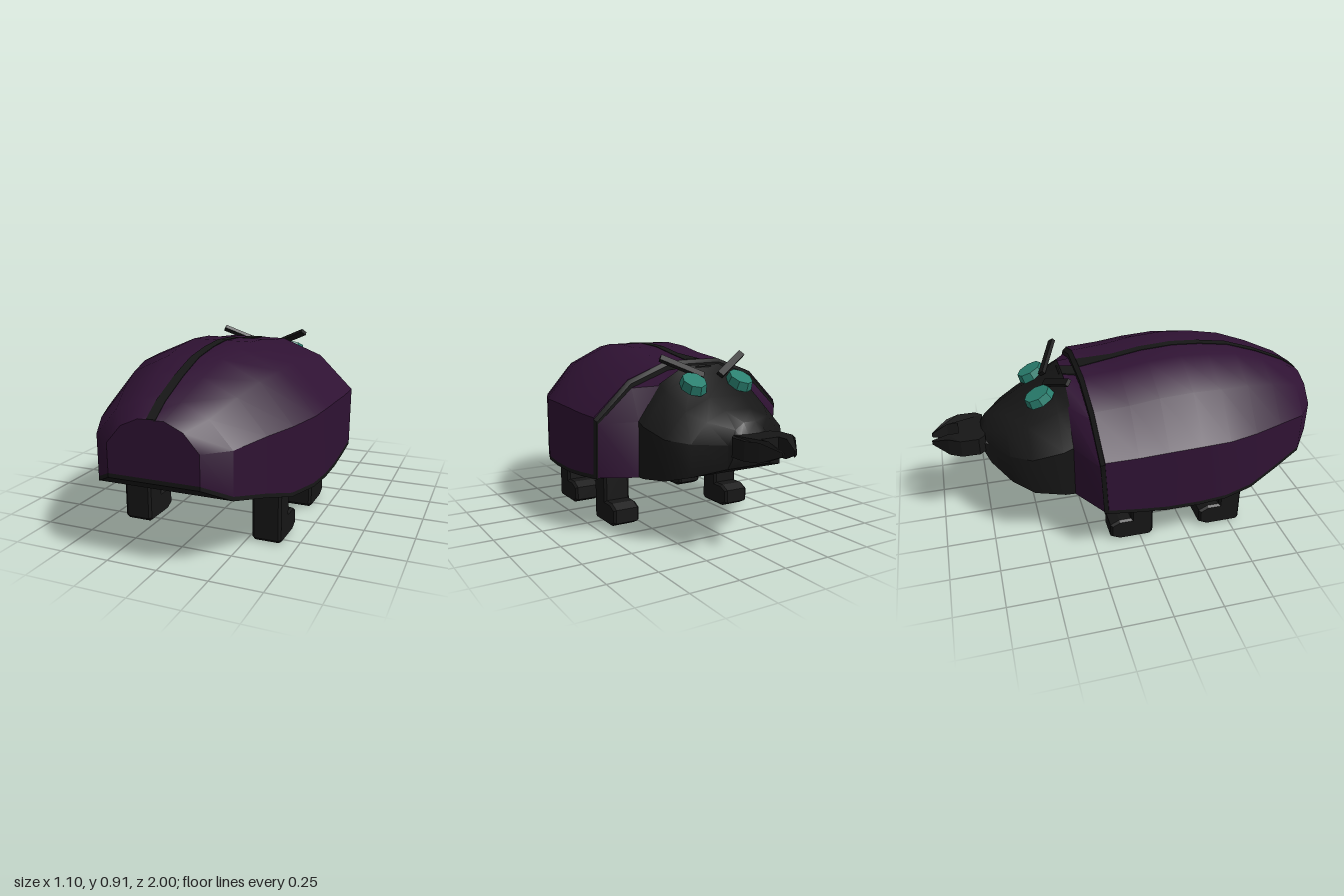
import * as THREE from 'three';
import { toCreasedNormals } from 'three/addons/utils/BufferGeometryUtils.js';

const purple = new THREE.MeshStandardMaterial({ color: 0x2f1233 });
const black = new THREE.MeshStandardMaterial({ color: 0x161616 });
const teal = new THREE.MeshStandardMaterial({ color: 0x2a8070 });

// Closed cross-sections, ordered from +z to -z, joined and capped.
function loft(rings, crease = 0.6) {
  const n = rings[0].length, index = [];
  for (let r = 0; r < rings.length - 1; r++) {
    for (let i = 0; i < n; i++) {
      const a = r * n + i, b = r * n + (i + 1) % n;
      index.push(a, a + n, b, b, a + n, b + n);
    }
  }
  const last = (rings.length - 1) * n;
  for (let i = 1; i < n - 1; i++) {
    index.push(0, i, i + 1, last, last + i + 1, last + i);
  }
  const g = new THREE.BufferGeometry();
  g.setAttribute('position', new THREE.Float32BufferAttribute(rings.flat(2), 3));
  g.setIndex(index);
  return toCreasedNormals(g, crease);
}

// Faceted arch with upright sides; lean pushes its crown forward.
function arch([z, w, y0, y1], lean = 0) {
  const half = [[1, 0], [1, 0.53], [0.67, 0.85], [0.28, 1]];
  const mirrored = half.map(([x, t]) => [-x, t]).reverse();
  return [...half, ...mirrored].map(([x, t]) => [x * w, y0 + t * (y1 - y0), z - lean * t]);
}

const slab = (z, w, y0, y1) => [[w, y0, z], [w, y1, z], [-w, y1, z], [-w, y0, z]];

export function createModel() {
  const model = new THREE.Group();
  const add = (name, geometry, material) => {
    const mesh = new THREE.Mesh(geometry, material);
    mesh.name = name;
    model.add(mesh);
    return mesh;
  };

  // Wing case: z, half width, bottom, top
  const body = [
    [1, 0.22, 0.4, 0.68], [0.91, 0.33, 0.34, 0.74], [0.74, 0.415, 0.305, 0.815],
    [0.58, 0.48, 0.26, 0.87], [0.42, 0.535, 0.26, 0.895], [0.27, 0.55, 0.26, 0.905],
    [0.1, 0.55, 0.26, 0.895], [-0.05, 0.55, 0.275, 0.87], [-0.2, 0.55, 0.295, 0.853],
  ];
  const lean = (i) => (i === body.length - 1 ? 0.03 : 0);
  add('wingCase', loft(body.map(([z, w, a, b], i) => arch([z, w, a + 0.02, b], lean(i)))), purple);
  add('belly', loft(body.map(([z, w, a]) => slab(z, w, a, a + 0.02))), black);

  // Seam between the wings, widening at the front
  const seam = body.map(([z, , , top], i) =>
    slab(z - lean(i), i === body.length - 1 ? 0.045 : 0.022, top - 0.03, top + 0.003));
  add('wingSeam', loft(seam), black);

  // Black band in front of the wings, then the collar
  add('wingBand', loft([
    arch([-0.2, 0.55, 0.295, 0.853], 0.03), arch([-0.22, 0.54, 0.295, 0.835], 0.03),
  ]), black);
  add('collar', loft([
    arch([-0.22, 0.535, 0.3, 0.81], 0.03), arch([-0.33, 0.365, 0.305, 0.825]),
  ]), purple);
  add('collarSeam', loft([
    slab(-0.24, 0.05, 0.78, 0.815), slab(-0.335, 0.045, 0.79, 0.83),
  ]), black);

  // Head narrowing to a short neck for the jaws
  add('head', loft([
    [-0.32, 0.365, 0.305, 0.835], [-0.38, 0.368, 0.31, 0.79], [-0.53, 0.34, 0.33, 0.7],
    [-0.63, 0.26, 0.36, 0.652], [-0.72, 0.12, 0.4, 0.61], [-0.75, 0.105, 0.47, 0.56],
  ].map((s) => arch(s))), black);

  // Jaws: forked plate with thinned tips
  const jaw = [
    [0.105, 0.735], [0.135, 0.77], [0.135, 0.86], [0.1, 0.92], [0.04, 1],
    [0.03, 1], [0.05, 0.92], [0.05, 0.865],
  ];
  const outline = [...jaw, ...jaw.map(([x, y]) => [-x, y]).reverse()];
  const jaws = new THREE.ExtrudeGeometry(
    new THREE.Shape(outline.map(([x, y]) => new THREE.Vector2(x, y))),
    { depth: 0.09, bevelEnabled: false });
  jaws.rotateX(-Math.PI / 2).translate(0, 0.47, 0);
  const p = jaws.attributes.position;
  for (let i = 0; i < p.count; i++) {
    const k = 1 - 0.8 * Math.max(0, (-0.92 - p.getZ(i)) / 0.08);
    p.setY(i, 0.515 + (p.getY(i) - 0.515) * k);
  }
  jaws.computeVertexNormals();
  add('jaws', jaws, black);

  // L-shaped leg with the foot pointing to -z
  const legShape = new THREE.Shape([
    [-0.05, 0.3], [0.05, 0.3], [0.05, 0.11], [0.12, 0.11], [0.16, 0.09],
    [0.16, 0.03], [0.12, 0.01], [-0.04, 0.01], [-0.05, 0.02],
  ].map(([x, y]) => new THREE.Vector2(x, y)));
  const leg = new THREE.ExtrudeGeometry(legShape, {
    depth: 0.12, bevelThickness: 0.013, bevelSize: 0.01, bevelSegments: 1,
  });
  leg.translate(0, 0, -0.06).rotateY(Math.PI / 2);

  for (const [side, s] of [['left', 1], ['right', -1]]) {
    for (const [row, z] of [['Front', 0.01], ['Rear', 0.5]]) {
      add(`${side}${row}Leg`, leg, black).position.set(s * 0.347, 0, z);
    }

    // Faceted eye lying on the slope of the head
    const eye = add(`${side}Eye`, toCreasedNormals(
      new THREE.CylinderGeometry(0.062, 0.07, 0.045, 8), 0.3), teal);
    eye.position.set(s * 0.135, 0.763, -0.455);
    eye.rotation.set(-0.45, 0, s * -0.05);
    eye.scale.set(0.92, 1, 1.1);

    // Flat antenna rising back and outward
    const antenna = add(`${side}Antenna`, new THREE.BoxGeometry(0.23, 0.035, 0.02), black);
    antenna.position.set(s * 0.145, 0.835, -0.365);
    antenna.rotation.set(Math.PI / 4, 0, s * 0.58);
  }
  return model;
}
